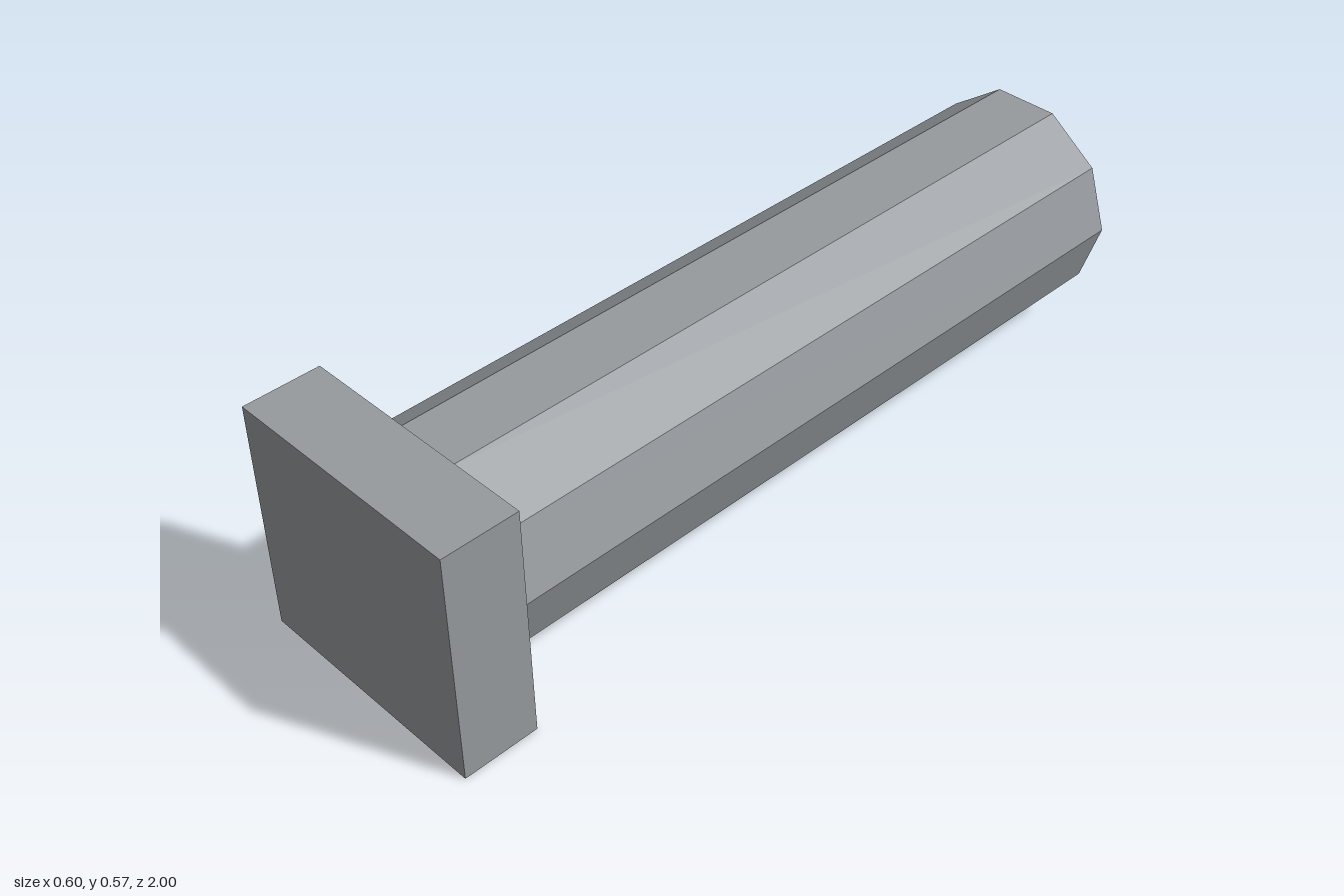
import * as THREE from 'three';

export function createModel() {
  const model = new THREE.Group();
  const steel = new THREE.MeshStandardMaterial({ color: 0x969a9e, flatShading: true });
  steel.name = 'steel grey';

  const plateWidth = 0.598, plateHeight = 0.567, plateDepth = 0.18;
  const shaftRadius = 0.257, shaftLength = 2 - plateDepth;

  function addPart(name, geometry, y, z) {
    const mesh = new THREE.Mesh(geometry, steel);
    mesh.name = name;
    mesh.position.set(0, y, z);
    model.add(mesh);
  }

  // Rectangular head plate at the front
  addPart('headPlate', new THREE.BoxGeometry(plateWidth, plateHeight, plateDepth),
    plateHeight / 2, 1 - plateDepth / 2);

  // Ten-sided shaft running back, with flats on top and bottom
  const shaft = new THREE.CylinderGeometry(shaftRadius, shaftRadius, shaftLength, 10, 1, false, Math.PI / 2);
  shaft.rotateX(Math.PI / 2);
  addPart('shaft', shaft, 0.285, -1 + shaftLength / 2);

  return model;
}
